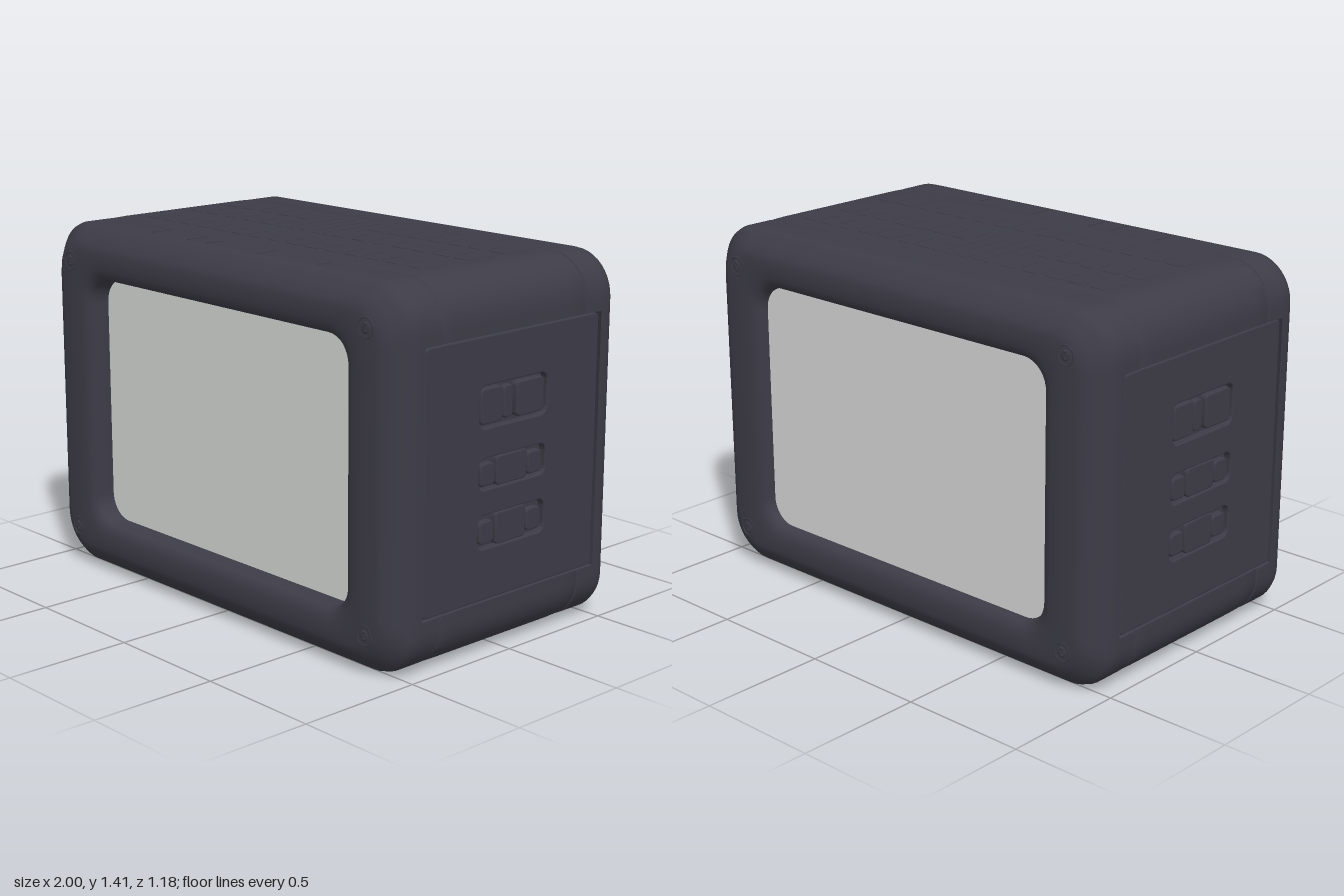
import * as THREE from 'three';
import { toCreasedNormals } from 'three/addons/utils/BufferGeometryUtils.js';

const CY = 0.705; // height of the casing centre
const FRONT_SCREEN = 0.492, BACK_SCREEN = 0.535; // distance of each screen from the centre

// rounded rectangle as a Shape or Path
function roundRect(cx, cy, w, h, r, Kind = THREE.Shape) {
  const s = new Kind();
  const x = w / 2 - r, y = h / 2 - r;
  s.absarc(cx + x, cy + y, r, 0, Math.PI / 2);
  s.absarc(cx - x, cy + y, r, Math.PI / 2, Math.PI);
  s.absarc(cx - x, cy - y, r, Math.PI, Math.PI * 1.5);
  s.absarc(cx + x, cy - y, r, Math.PI * 1.5, Math.PI * 2);
  s.closePath();
  return s;
}

// thin plate with softened edges, lying in xy and facing +z
function plate(shape, depth, bevel) {
  const g = new THREE.ExtrudeGeometry(shape, {
    depth: depth - bevel, bevelEnabled: true, bevelThickness: bevel,
    bevelSize: bevel, bevelOffset: -bevel, bevelSegments: 2, curveSegments: 6,
  });
  return toCreasedNormals(g, 0.3);
}

// casing outline; the middle of each side can sink to x = side for the side panels
function outline(w, h, r, side = w) {
  const pts = [], n = 10, ny = Math.min(0.49, (h - r) * 0.98);
  for (let q = 0; q < 4; q++) {
    const sx = q === 0 || q === 3 ? 1 : -1, sy = q < 2 ? 1 : -1;
    if (q === 2) pts.push([-w, ny], [-side, ny * 0.995], [-side, -ny * 0.995], [-w, -ny]);
    for (let i = 0; i <= n; i++) {
      const a = (q + i / n) * Math.PI / 2;
      pts.push([sx * (w - r) + r * Math.cos(a), sy * (h - r) + r * Math.sin(a)]);
    }
  }
  pts.push([w, -ny], [side, -ny * 0.995], [side, ny * 0.995], [w, ny]);
  return pts;
}

// skin through the rings, front to back
function loft(rings) {
  const pos = [], idx = [];
  const n = outline(1, 0.7, 0.1).length;
  rings.forEach(([z, w, h, r, side]) => {
    outline(w, h, r, side).forEach(([x, y]) => pos.push(x, y, z));
  });
  for (let i = 0; i < rings.length - 1; i++) {
    for (let j = 0; j < n; j++) {
      const a = i * n + j, b = i * n + (j + 1) % n;
      idx.push(a, a + n, b, b, a + n, b + n);
    }
  }
  const g = new THREE.BufferGeometry();
  g.setAttribute('position', new THREE.Float32BufferAttribute(pos, 3));
  g.setIndex(idx);
  return toCreasedNormals(g, 0.7);
}

// half of the casing: screen recess, bezel, rounded end frame, seam, middle
const halfRings = (screenZ) => [
  [screenZ, 0.73, 0.495, 0.1],
  [0.56, 0.737, 0.502, 0.105],
  [0.577, 0.752, 0.517, 0.115],
  [0.585, 0.78, 0.542, 0.13],
  [0.587, 0.82, 0.57, 0.14],
  [0.587, 0.895, 0.605, 0.13],
  [0.58, 0.92, 0.629, 0.14],
  [0.56, 0.947, 0.655, 0.15],
  [0.535, 0.973, 0.679, 0.16],
  [0.515, 0.991, 0.696, 0.165],
  [0.49, 1, 0.703, 0.17],
  [0.456, 1, 0.703, 0.17],
  [0.454, 1, 0.703, 0.17, 0.965],
  [0.375, 0.999, 0.703, 0.17, 0.965],
  [0.371, 0.994, 0.698, 0.168, 0.965],
  [0.367, 0.994, 0.698, 0.168, 0.965],
  [0.362, 0.997, 0.703, 0.17, 0.965],
  [0.3, 0.997, 0.705, 0.17, 0.965],
];

export function createModel() {
  const model = new THREE.Group();
  model.name = 'displayUnit';
  const casing = new THREE.MeshStandardMaterial({ color: 0x3d3c47 });
  casing.name = 'charcoal casing';
  const glass = new THREE.MeshStandardMaterial({ color: 0xd8dad8 });
  glass.name = 'pale grey screen';

  function add(parent, name, geo, mat, x = 0, y = 0, z = 0) {
    const m = new THREE.Mesh(geo, mat);
    m.name = name;
    m.position.set(x, y, z);
    parent.add(m);
    return m;
  }

  // casing
  const back = halfRings(BACK_SCREEN).map(([z, ...rest]) => [-z, ...rest]).reverse();
  add(model, 'casing', loft([...halfRings(FRONT_SCREEN), ...back]), casing, 0, CY, 0);

  // both ends: screen and four corner screws
  const screenGeo = new THREE.ShapeGeometry(roundRect(0, 0, 1.46, 0.99, 0.1), 10);
  const ringGeo = new THREE.TorusGeometry(0.036, 0.004, 6, 24);
  const headGeo = new THREE.SphereGeometry(0.024, 16, 8).scale(1, 1, 0.2);
  const pinGeo = new THREE.SphereGeometry(0.007, 8, 6).scale(1, 1, 0.6);
  for (const [turn, screenZ] of [[0, FRONT_SCREEN], [Math.PI, BACK_SCREEN]]) {
    const end = new THREE.Group();
    end.name = turn ? 'backEnd' : 'frontEnd';
    end.rotation.y = turn;
    model.add(end);
    add(end, 'screen', screenGeo, glass, 0, CY, screenZ + 0.001);
    for (const x of [-0.845, 0.845]) for (const y of [0.16, 1.26]) {
      const screw = new THREE.Group();
      screw.name = 'cornerScrew';
      screw.position.set(x, y, 0.585);
      end.add(screw);
      add(screw, 'screwRing', ringGeo, casing);
      add(screw, 'screwHead', headGeo, casing);
      for (const dy of [-0.012, 0.014]) add(screw, 'screwPin', pinGeo, casing, 0, dy, 0.003);
    }
  }

  // side panels: plate with three pockets, each holding buttons
  const pockets = [[0.935, 0.155], [0.69, 0.115], [0.475, 0.125]];
  const panelShape = roundRect(0, CY, 0.9, 0.97, 0.02);
  pockets.forEach(([y, h]) => panelShape.holes.push(roundRect(0, y, 0.35, h, 0.03, THREE.Path)));
  const panelGeo = plate(panelShape, 0.029, 0.005);
  const button = (w, h, d) => plate(roundRect(0, 0, w, h, 0.018), d, 0.006);
  for (const turn of [0, Math.PI]) {
    const side = new THREE.Group();
    side.name = turn ? 'rightSide' : 'leftSide';
    side.rotation.y = Math.PI / 2 + turn;
    model.add(side);
    add(side, 'sidePanel', panelGeo, casing, 0, 0, 0.965);
    add(side, 'wideButton', button(0.115, 0.13, 0.024), casing, -0.108, 0.935, 0.965);
    add(side, 'buttonBridge', button(0.05, 0.12, 0.02), casing, -0.02, 0.935, 0.965);
    add(side, 'wideButton', button(0.145, 0.13, 0.026), casing, 0.09, 0.935, 0.965);
    for (const [y, h] of pockets.slice(1)) {
      add(side, 'rockerBar', button(0.16, h - 0.004, 0.026), casing, 0, y, 0.965);
      for (const u of [-0.124, 0.124]) {
        add(side, 'smallButton', button(0.075, 0.085, 0.024), casing, u, y - 0.005, 0.965);
      }
    }
  }

  // top: faint raised keypad in three rows, with long bars near the middle
  const top = new THREE.Group();
  top.name = 'keypad';
  top.rotation.x = -Math.PI / 2;
  top.position.y = CY + 0.703;
  model.add(top);
  const keyGeo = plate(roundRect(0, 0, 0.08, 0.13, 0.015), 0.005, 0.002);
  const barGeo = plate(roundRect(0, 0, 0.045, 0.33, 0.012), 0.005, 0.002);
  for (let i = 0; i < 15; i++) {
    const x = -0.74 + i * 0.106;
    for (const z of [-0.23, -0.04, 0.195]) {
      if (z < 0.1 && x > -0.25 && x < 0.06) continue;
      add(top, 'key', keyGeo, casing, x, -z, 0);
    }
  }
  for (const x of [-0.22, -0.155, -0.09, -0.025, 0.04]) add(top, 'longBar', barGeo, casing, x, 0.135, 0);

  // small ribs on the top of the front frame
  for (const [x, l] of [[-0.46, 0.08], [-0.24, 0.09], [-0.13, 0.08], [0.16, 0.09], [0.47, 0.05]]) {
    add(model, 'frameRib', new THREE.BoxGeometry(0.012, 0.005, l), casing, x, CY + 0.703, 0.43);
  }
  return model;
}
